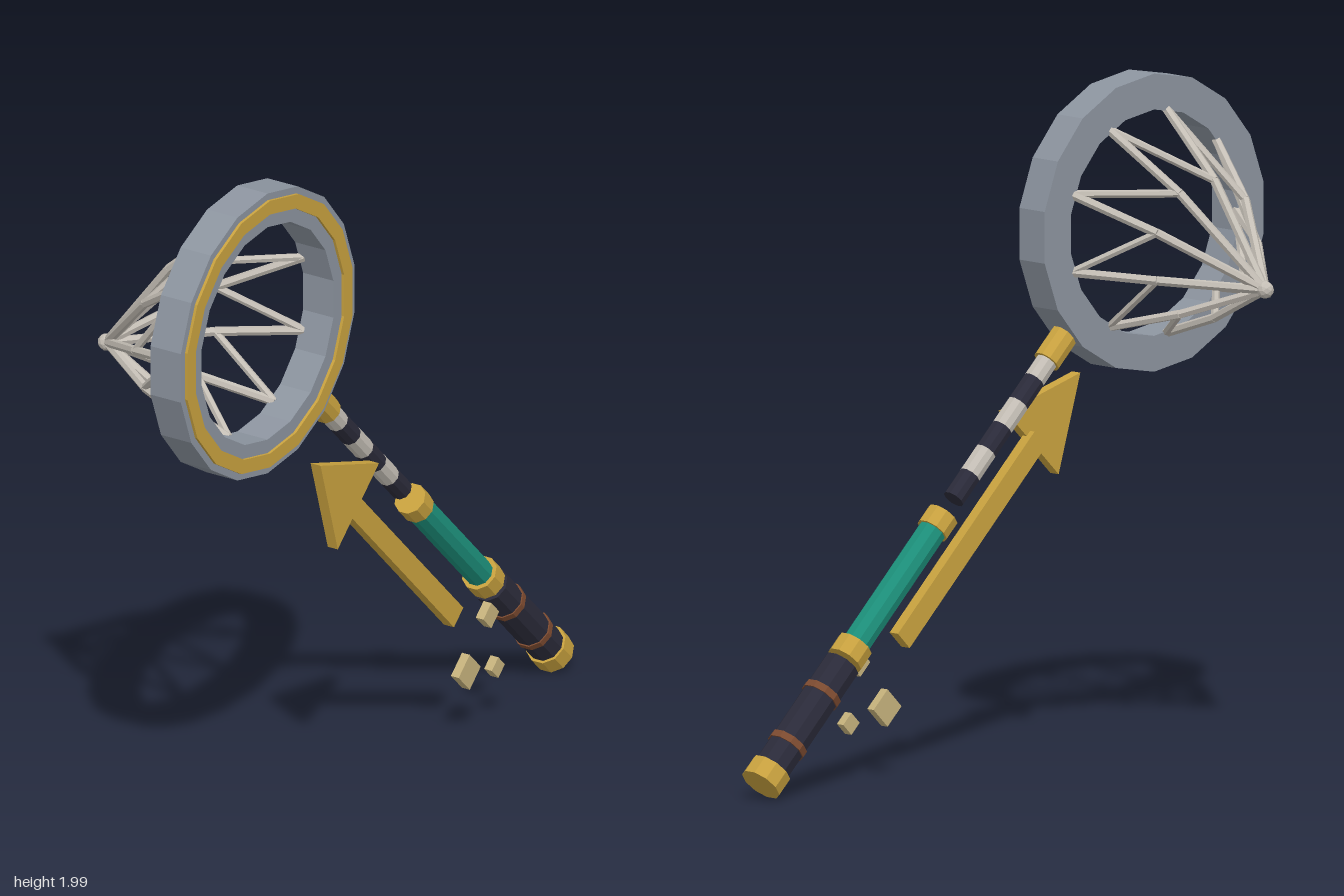
import * as THREE from 'three';

const mat = (name, color) => {
  const m = new THREE.MeshStandardMaterial({ color });
  m.name = name;
  return m;
};

export function createModel() {
  const root = new THREE.Group();
  root.name = 'net';
  const steel = mat('steel grey', 0x8c949f);
  const gold = mat('gold', 0xc9a23f);
  const dark = mat('dark navy', 0x2b2b3a);
  const pale = mat('pale grey', 0xc4beb5);
  const green = mat('teal green', 0x1c8f7a);
  const brown = mat('leather brown', 0x7d4b30);
  const sand = mat('pale gold', 0xc6b27c);

  // Faceted mesh helper
  const add = (parent, name, geometry, material) => {
    const g = geometry.index ? geometry.toNonIndexed() : geometry;
    g.computeVertexNormals();
    const mesh = new THREE.Mesh(g, material);
    mesh.name = name;
    parent.add(mesh);
    return mesh;
  };

  // Cylinder between two points
  const UP = new THREE.Vector3(0, 1, 0);
  const rod = (parent, name, a, b, r, sides, material) => {
    const dir = b.clone().sub(a);
    const mesh = add(parent, name, new THREE.CylinderGeometry(r, r, dir.length(), sides), material);
    mesh.position.copy(a).add(b).multiplyScalar(0.5);
    mesh.quaternion.setFromUnitVectors(UP, dir.normalize());
    return mesh;
  };

  // Hoop: 18-sided ring with a raised gold band on its front
  const CX = -0.56, CY = 1.56;
  const polygon = (r) => Array.from({ length: 18 }, (_, i) => {
    const a = Math.PI / 2 + (i * Math.PI) / 9;
    return new THREE.Vector2(r * Math.cos(a), r * Math.sin(a));
  });
  const ring = (name, outer, inner, z0, z1, material) => {
    const shape = new THREE.Shape(polygon(outer));
    shape.holes.push(new THREE.Path(polygon(inner)));
    const g = new THREE.ExtrudeGeometry(shape, { depth: z1 - z0, bevelEnabled: false });
    add(root, name, g, material).position.set(CX, CY, z0);
  };
  ring('hoop', 0.44, 0.334, 0.142, 0.251, steel);
  ring('hoopBand', 0.419, 0.376, 0.251, 0.26, gold);

  // Net: nine bent ribs meeting at a knot, each with a side branch
  const net = new THREE.Group();
  net.name = 'netStruts';
  root.add(net);
  const apex = new THREE.Vector3(-0.585, 1.41, -0.31);
  const rim = (i) => {
    const a = THREE.MathUtils.degToRad(100 - i * 40);
    return new THREE.Vector3(CX + 0.337 * Math.cos(a), CY + 0.337 * Math.sin(a), 0.155);
  };
  for (let i = 0; i < 9; i++) {
    const end = rim(i);
    const joint = apex.clone().lerp(end, 0.61);
    joint.z = -0.07;
    rod(net, 'ribInner', apex, joint, 0.014, 6, pale);
    rod(net, 'ribOuter', joint, end, 0.014, 6, pale);
    rod(net, 'branch', joint, rim(i + 1), 0.012, 6, pale);
  }
  add(net, 'netKnot', new THREE.IcosahedronGeometry(0.026, 1), pale).position.copy(apex);

  // Handle: sections placed by distance from the hoop centre
  const handle = new THREE.Group();
  handle.name = 'handle';
  root.add(handle);
  const at = (s) => new THREE.Vector3(CX + s * Math.SQRT1_2, CY - 0.003 - s * Math.SQRT1_2, 0.198);
  const section = (name, s0, s1, r, material) =>
    rod(handle, name, at(s0), at(s1), r, 10, material);

  section('hoopCollar', 0.42, 0.53, 0.042, gold);
  for (let i = 0; i < 6; i++) {
    const s = 0.51 + i * 0.09;
    section('shaftStripe', s, s + 0.09, 0.033, i % 2 ? dark : pale);
  }
  section('upperCollar', 1.11, 1.17, 0.05, gold);
  section('greenTube', 1.15, 1.64, 0.043, green);
  section('lowerCollar', 1.6, 1.66, 0.056, gold);
  section('grip', 1.675, 2.09, 0.056, dark);
  for (const s of [1.79, 1.98]) section('gripBand', s - 0.011, s + 0.011, 0.06, brown);
  section('endCap', 2.07, 2.13, 0.064, gold);

  // Arrow in front of the handle
  const arrow = new THREE.Group();
  arrow.name = 'arrow';
  root.add(arrow);
  const head = new THREE.Shape([
    new THREE.Vector2(-0.412, 1.115),
    new THREE.Vector2(-0.326, 0.824),
    new THREE.Vector2(-0.12, 1.028),
  ]);
  add(arrow, 'arrowHead', new THREE.ExtrudeGeometry(head, { depth: 0.036, bevelEnabled: false }), gold)
    .position.z = 0.299;
  const shaft = add(arrow, 'arrowShaft', new THREE.BoxGeometry(0.765, 0.066, 0.036), gold);
  shaft.position.set(0.034, 0.67, 0.298);
  shaft.rotation.z = -Math.PI / 4;

  // Loose chips trailing the arrow
  for (const [x, y, size] of [[0.364, 0.207, 0.078], [0.472, 0.35, 0.056], [0.507, 0.175, 0.046]]) {
    const chip = add(arrow, 'chip', new THREE.BoxGeometry(size, size, 0.028), sand);
    chip.position.set(x, y, 0.299);
    chip.rotation.z = Math.PI / 4;
  }
  return root;
}
